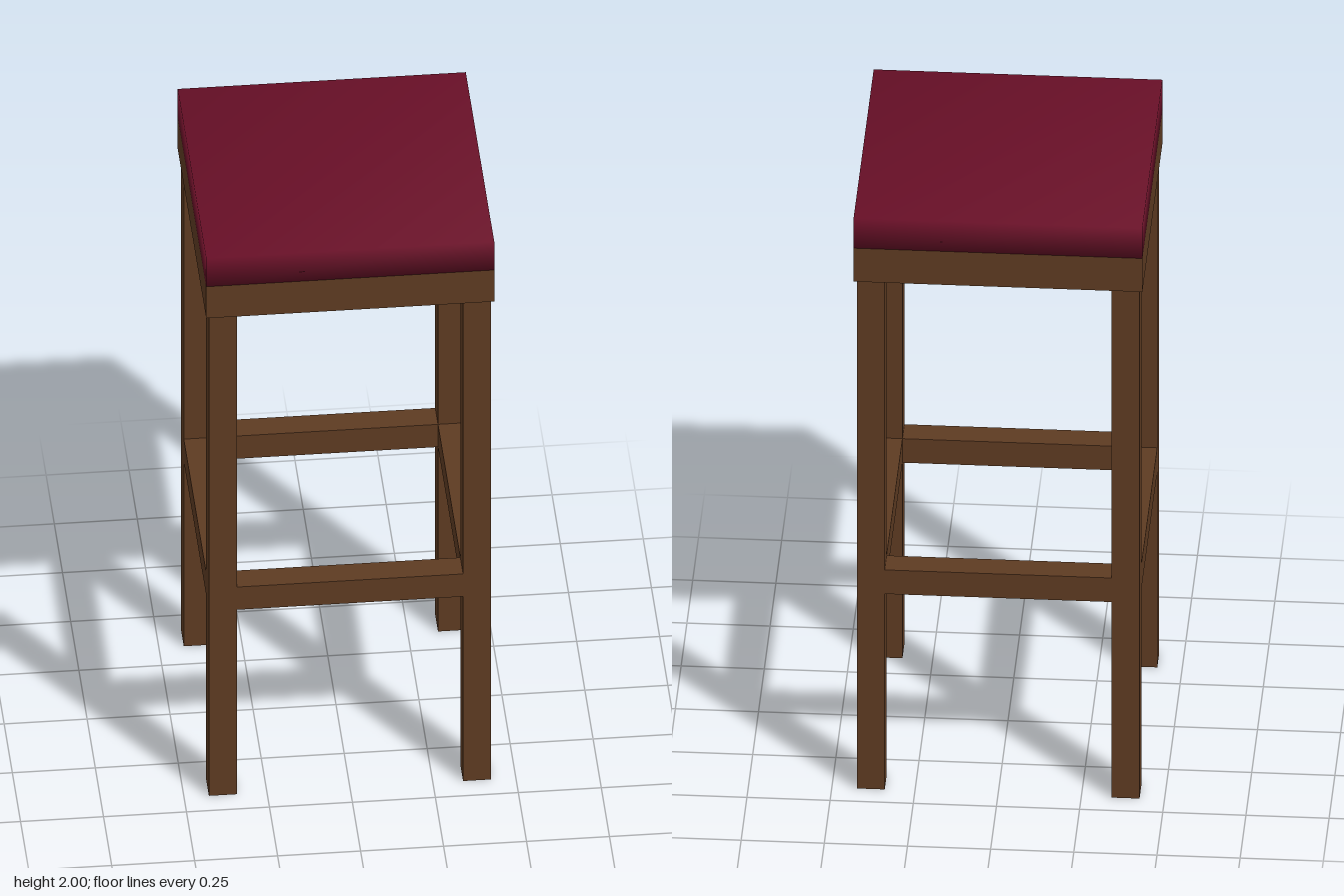
import * as THREE from 'three';
import { mergeVertices } from 'three/addons/utils/BufferGeometryUtils.js';

export function createModel() {
  const stool = new THREE.Group();
  stool.name = 'barStool';

  const wood = new THREE.MeshStandardMaterial({ color: 0x5e3b22 });
  wood.name = 'brown wood';
  const upholstery = new THREE.MeshStandardMaterial({ color: 0x680f27 });
  upholstery.name = 'dark red upholstery';

  const HALF = 0.434;        // seat half width
  const LEG = 0.084;         // leg and rail thickness
  const LEG_POS = 0.383;     // leg centre
  const APRON_BOTTOM = 1.778;
  const APRON_TOP = 1.895;
  const APRON_THICK = 0.012;

  const add = (name, geometry, material) => {
    const mesh = new THREE.Mesh(geometry, material);
    mesh.name = name;
    stool.add(mesh);
    return mesh;
  };

  // Cushion: a block with shared corners, so its shading rolls over the edges
  const block = new THREE.BoxGeometry(2 * HALF, 2 - APRON_TOP, 2 * HALF);
  block.deleteAttribute('normal');
  block.deleteAttribute('uv');
  const cushionGeometry = mergeVertices(block);
  cushionGeometry.computeVertexNormals();
  add('cushion', cushionGeometry, upholstery).position.y = (2 + APRON_TOP) / 2;

  // Apron: thin open frame under the cushion
  const square = (target, h) => target
    .moveTo(-h, -h).lineTo(h, -h).lineTo(h, h).lineTo(-h, h).closePath();
  const frame = square(new THREE.Shape(), HALF);
  frame.holes.push(square(new THREE.Path(), HALF - APRON_THICK));
  const apronGeometry = new THREE.ExtrudeGeometry(frame, {
    depth: APRON_TOP - APRON_BOTTOM, bevelEnabled: false,
  });
  apronGeometry.rotateX(-Math.PI / 2);
  add('apron', apronGeometry, wood).position.y = APRON_BOTTOM;

  // Legs
  const legGeometry = new THREE.BoxGeometry(LEG, APRON_BOTTOM, LEG);
  for (const [x, side] of [[1, 'Left'], [-1, 'Right']]) {
    for (const [z, end] of [[1, 'front'], [-1, 'back']]) {
      add(`${end}${side}Leg`, legGeometry, wood)
        .position.set(x * LEG_POS, APRON_BOTTOM / 2, z * LEG_POS);
    }
  }

  // Footrest rails, flush with the legs on all four sides
  const railGeometry = new THREE.BoxGeometry(2 * LEG_POS - LEG, LEG, LEG);
  ['front', 'left', 'back', 'right'].forEach((side, i) => {
    const angle = i * Math.PI / 2;
    const rail = add(`${side}Rail`, railGeometry, wood);
    rail.position.set(Math.sin(angle) * LEG_POS, 0.726, Math.cos(angle) * LEG_POS);
    rail.rotation.y = angle;
  });

  return stool;
}
